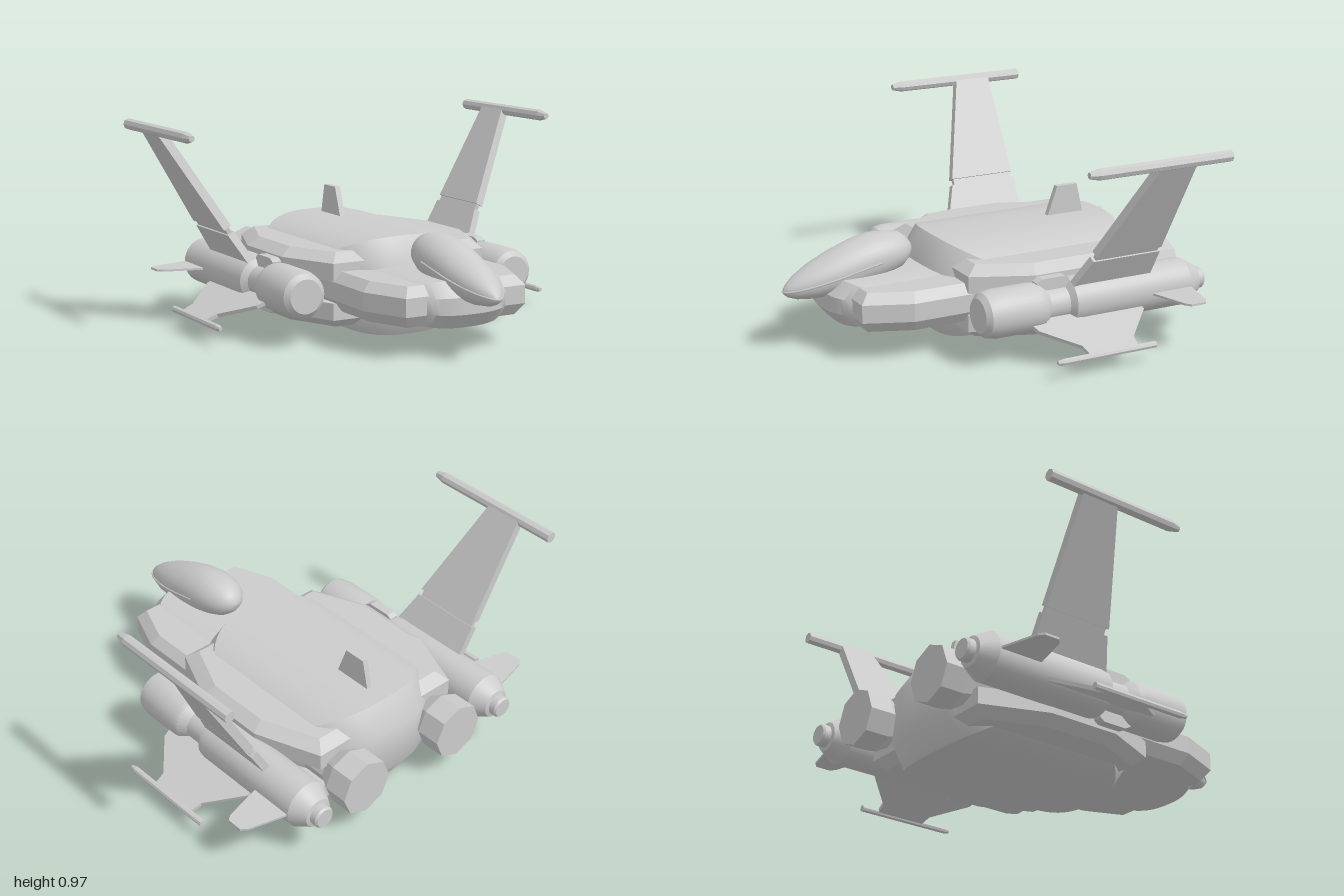
import * as THREE from 'three';
import { toCreasedNormals } from 'three/addons/utils/BufferGeometryUtils.js';

const smoothMat = new THREE.MeshStandardMaterial({ color: 0xcccccc });
const flatMat = new THREE.MeshStandardMaterial({ color: 0xcccccc, flatShading: true });

function add(parent, name, geo, mat, x = 0, y = 0, z = 0) {
  const m = new THREE.Mesh(geo, mat);
  m.name = name;
  m.position.set(x, y, z);
  parent.add(m);
  return m;
}

// Skin over closed rings of [x, y, z]; rings turn anticlockwise about the travel direction
function loft(rings) {
  const n = rings[0].length, pos = [], idx = [];
  rings.forEach(r => r.forEach(p => pos.push(...p)));
  const centre = r => [0, 1, 2].map(k => r.reduce((t, p) => t + p[k], 0) / n);
  pos.push(...centre(rings[0]), ...centre(rings[rings.length - 1]));
  const c0 = rings.length * n, last = (rings.length - 1) * n;
  for (let j = 0; j < n; j++) {
    const k = (j + 1) % n;
    for (let i = 0; i < rings.length - 1; i++) {
      const a = i * n + j, b = i * n + k;
      idx.push(a, b, b + n, a, b + n, a + n);
    }
    idx.push(c0, k, j, c0 + 1, last + j, last + k);
  }
  const g = new THREE.BufferGeometry();
  g.setAttribute('position', new THREE.Float32BufferAttribute(pos, 3));
  g.setIndex(idx);
  g.computeVertexNormals();
  return g;
}

// Faceted plate: half outline [x, z] from front to back, layers [y, inset]
function plate(half, layers) {
  const outline = [...half, ...half.map(([x, z]) => [-x, z]).reverse()];
  const zs = half.map(p => p[1]), zMax = Math.max(...zs), zMin = Math.min(...zs);
  const zc = (zMax + zMin) / 2, hz = (zMax - zMin) / 2;
  const hx = Math.max(...half.map(p => p[0]));
  return loft(layers.map(([y, d]) => outline.map(([x, z]) =>
    [x * (1 - d / hx), y, zc + (z - zc) * (1 - d / hz)])));
}

// Oval core: chamfered side profile that shrinks toward the flanks
function core(a, z0, z1, y0, y1, cz, cy) {
  const zc = (z0 + z1) / 2, yc = (y0 + y1) / 2, hz = (z1 - z0) / 2, hy = (y1 - y0) / 2;
  const prof = [[hy, -hz + cz], [hy, hz - cz], [hy - cy, hz], [-hy + cy, hz],
    [-hy, hz - cz], [-hy, -hz + cz], [-hy + cy, -hz], [hy - cy, -hz]];
  const rings = [];
  for (let i = 0; i <= 40; i++) {
    const t = -Math.cos(Math.PI * i / 40);
    const s = Math.max(0.002, Math.sqrt(Math.max(0, 1 - Math.abs(t) ** 2.7)));
    rings.push(prof.map(([y, z]) => [a * t, yc + y * s, zc + z * s]));
  }
  return toCreasedNormals(loft(rings), 0.6);
}

// Thin panel: outline [span, z], standing on a root point and running along a direction
function panel(parent, name, pts, thick, root, dir) {
  const shape = new THREE.Shape(pts.map(p => new THREE.Vector2(...p)));
  const g = new THREE.ExtrudeGeometry(shape, { depth: thick, bevelEnabled: false });
  g.translate(0, 0, -thick / 2);
  const X = new THREE.Vector3(dir[0], dir[1], 0).normalize();
  const Y = new THREE.Vector3(0, 0, 1);
  g.applyMatrix4(new THREE.Matrix4().makeBasis(X, Y, X.clone().cross(Y)));
  add(parent, name, g, flatMat, root[0], root[1], 0);
}

// Turned body along z: profile [radius, z] from back to front
function turned(profile, sides) {
  const g = new THREE.LatheGeometry(profile.map(p => new THREE.Vector2(...p)), sides);
  return g.rotateX(Math.PI / 2);
}

function buildSide(s) {
  const g = new THREE.Group();
  g.name = s > 0 ? 'leftSide' : 'rightSide';

  // Engine pod with narrow waist and stepped tail
  const pod = [[0, -0.955], [0.045, -0.955], [0.052, -0.945], [0.052, -0.915], [0.07, -0.91],
    [0.113, -0.835], [0.113, -0.25], [0.108, -0.22], [0.078, -0.2], [0.078, -0.1],
    [0.108, -0.06], [0.113, -0.03], [0.113, 0.17], [0.104, 0.215], [0.08, 0.237], [0, 0.237]];
  add(g, 'enginePod', toCreasedNormals(turned(pod, 32), 0.5), smoothMat, s * 0.565, 0.24, 0);
  const clamp = [[-0.13, -0.2], [-0.115, -0.22], [0.115, -0.22], [0.13, -0.2],
    [0.13, -0.08], [0.115, -0.05], [-0.115, -0.05], [-0.13, -0.08]];
  panel(g, 'podClamp', clamp, 0.045, [s * 0.565, 0.24], [0, 1]);

  // Tall canted wing in two pieces with a hinge and a tip rod
  const root = [s * 0.615, 0.335], up = [s * 0.35, 0.61];
  panel(g, 'wingRoot', [[-0.03, -0.215], [0, -0.22], [0.15, -0.275], [0.15, -0.63], [-0.03, -0.63]], 0.036, root, up);
  panel(g, 'wingHinge', [[0.14, -0.29], [0.19, -0.29], [0.19, -0.62], [0.14, -0.62]], 0.022, root, up);
  panel(g, 'wing', [[0.18, -0.28], [0.7, -0.44], [0.7, -0.625], [0.18, -0.625]], 0.042, root, up);
  const rod = [[0, -0.81], [0.027, -0.81], [0.027, -0.13], [0.015, -0.08], [0, -0.08]];
  add(g, 'wingTipRod', turned(rod, 8), flatMat, s * 0.97, 0.947, 0);

  // Level tail plane
  panel(g, 'tailPlane', [[0, -0.83], [0.12, -0.83], [0.3, -0.785], [0.325, -0.765], [0.325, -0.69],
    [0.3, -0.67], [0.12, -0.62], [0, -0.62]], 0.01, [s * 0.565, 0.24], [s, 0]);

  // Drooping lower wing with tip rod
  panel(g, 'lowerWing', [[-0.02, 0.02], [0.07, 0], [0.21, -0.15], [0.275, -0.16],
    [0.275, -0.41], [0.21, -0.42], [0.05, -0.57], [-0.02, -0.57]], 0.018, [s * 0.63, 0.19], [s * 0.255, -0.105]);
  const lowRod = [[0, -0.5], [0.016, -0.5], [0.016, -0.02], [0.009, 0.01], [0, 0.01]];
  add(g, 'lowerWingRod', turned(lowRod, 8), flatMat, s * 0.885, 0.085, 0);

  // Main thruster
  const nozzle = [[0, -0.93], [0.137, -0.93], [0.137, -0.81], [0.095, -0.74], [0.095, -0.6], [0, -0.6]];
  add(g, 'thruster', turned(nozzle, 8), flatMat, s * 0.29, 0.237, 0);
  return g;
}

export function createModel() {
  const model = new THREE.Group();
  model.name = 'spacecraft';

  // Main hull: two plates around an oval core
  const main = [[0.405, 0.2], [0.525, -0.08], [0.525, -0.44], [0.405, -0.75]];
  add(model, 'upperHullPlate', plate(main, [[0.29, 0], [0.37, 0], [0.412, 0.055]]), flatMat);
  add(model, 'lowerHullPlate', plate(main, [[0.063, 0.055], [0.105, 0], [0.185, 0]]), flatMat);
  add(model, 'hullCore', core(0.44, -0.815, 0.278, 0, 0.47, 0.08, 0.12), smoothMat);

  // Front hull
  const nose = [[0.315, 0.69], [0.402, 0.47], [0.402, 0], [0.36, -0.1]];
  add(model, 'frontHullPlate', plate(nose, [[0.145, 0.04], [0.2, 0], [0.285, 0], [0.33, 0.04]]), flatMat);
  add(model, 'frontHullCore', core(0.34, -0.2, 0.76, 0.128, 0.347, 0.06, 0.07), smoothMat);

  // Cockpit: sections [z, centre y, half width, half height]
  const sections = [[0.3, 0.42, 0.003, 0.003], [0.306, 0.42, 0.034, 0.03], [0.325, 0.42, 0.062, 0.055],
    [0.36, 0.418, 0.09, 0.083], [0.42, 0.412, 0.112, 0.1], [0.5, 0.4, 0.122, 0.114], [0.6, 0.378, 0.12, 0.114],
    [0.7, 0.353, 0.112, 0.102], [0.8, 0.328, 0.092, 0.083], [0.88, 0.308, 0.062, 0.055],
    [0.92, 0.298, 0.035, 0.031], [0.935, 0.294, 0.017, 0.015], [0.94, 0.292, 0.003, 0.003]];
  const ring = ([z, y, rx, ry], from, to, n) => Array.from({ length: n }, (_, i) => {
    const t = from + (to - from) * i / n;
    return [rx * Math.cos(t), y + ry * Math.sin(t), z];
  });
  add(model, 'cockpit', loft(sections.map(q => ring(q, 0, Math.PI * 2, 32))), smoothMat);
  // Canopy sill running round the cockpit
  const sill = [...sections.slice(5).map(([z, y, rx]) => new THREE.Vector3(rx, y, z)),
    ...sections.slice(5).reverse().map(([z, y, rx]) => new THREE.Vector3(-rx, y, z))];
  add(model, 'canopySill', new THREE.TubeGeometry(new THREE.CatmullRomCurve3(sill), 60, 0.005, 6), smoothMat);

  // Dorsal fin
  panel(model, 'dorsalFin', [[0, -0.42], [0.03, -0.44], [0.17, -0.49], [0.17, -0.6], [0, -0.64]], 0.028, [0, 0.44], [0, 1]);

  for (const s of [1, -1]) model.add(buildSide(s));
  return model;
}
